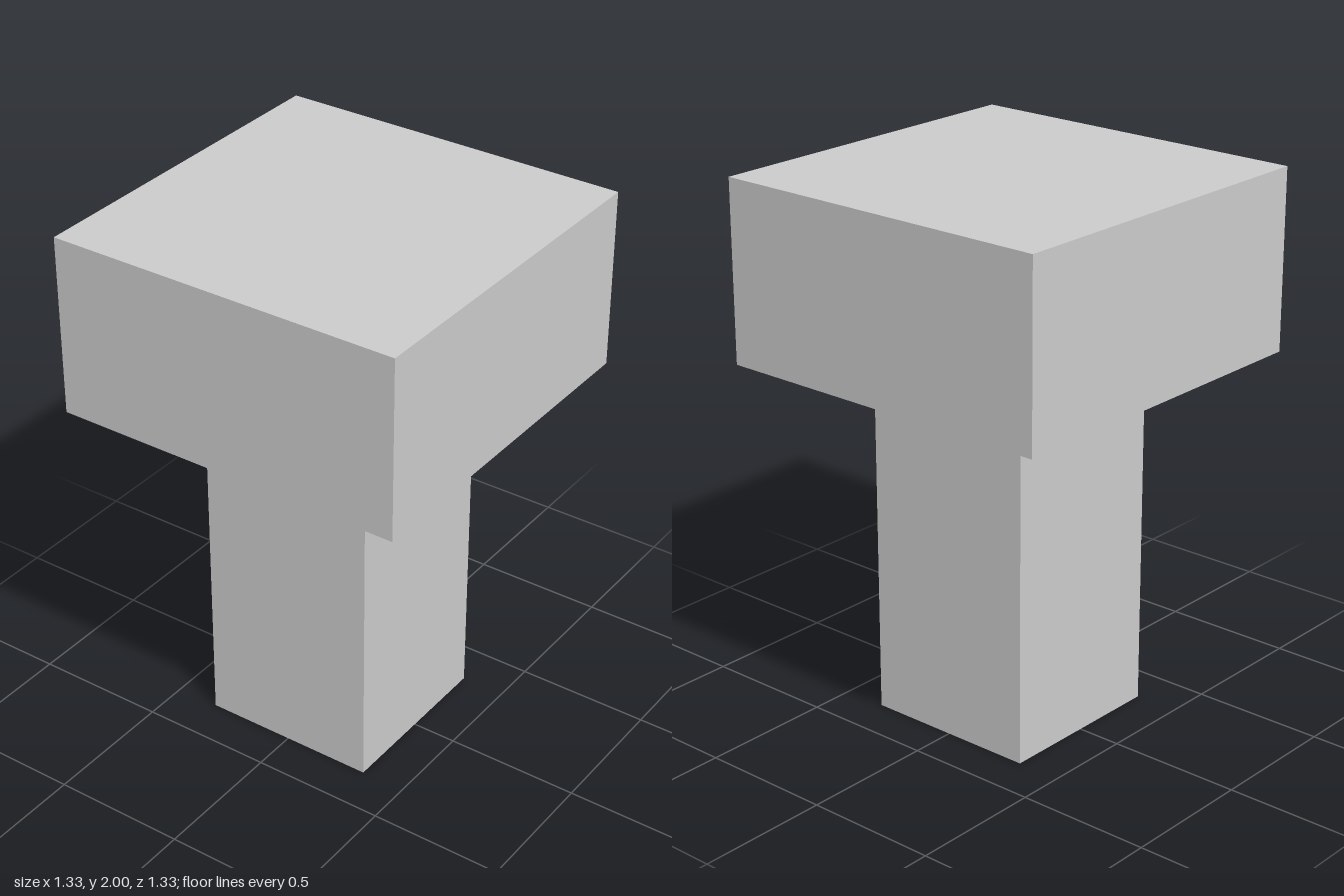
import * as THREE from 'three';

const UNIT = 2 / 3; // post width; every size is a multiple of it

export function createModel() {
  const model = new THREE.Group();
  model.name = 'post';
  const material = new THREE.MeshStandardMaterial({ color: 0xcccccc, flatShading: true });

  // Square block of the given width and height, standing on height y
  const addBlock = (name, width, height, y) => {
    const mesh = new THREE.Mesh(new THREE.BoxGeometry(width, height, width), material);
    mesh.name = name;
    mesh.position.y = y + height / 2;
    model.add(mesh);
  };

  addBlock('shaft', UNIT, 2 * UNIT, 0);
  addBlock('head', 2 * UNIT, UNIT, 2 * UNIT);

  return model;
}
